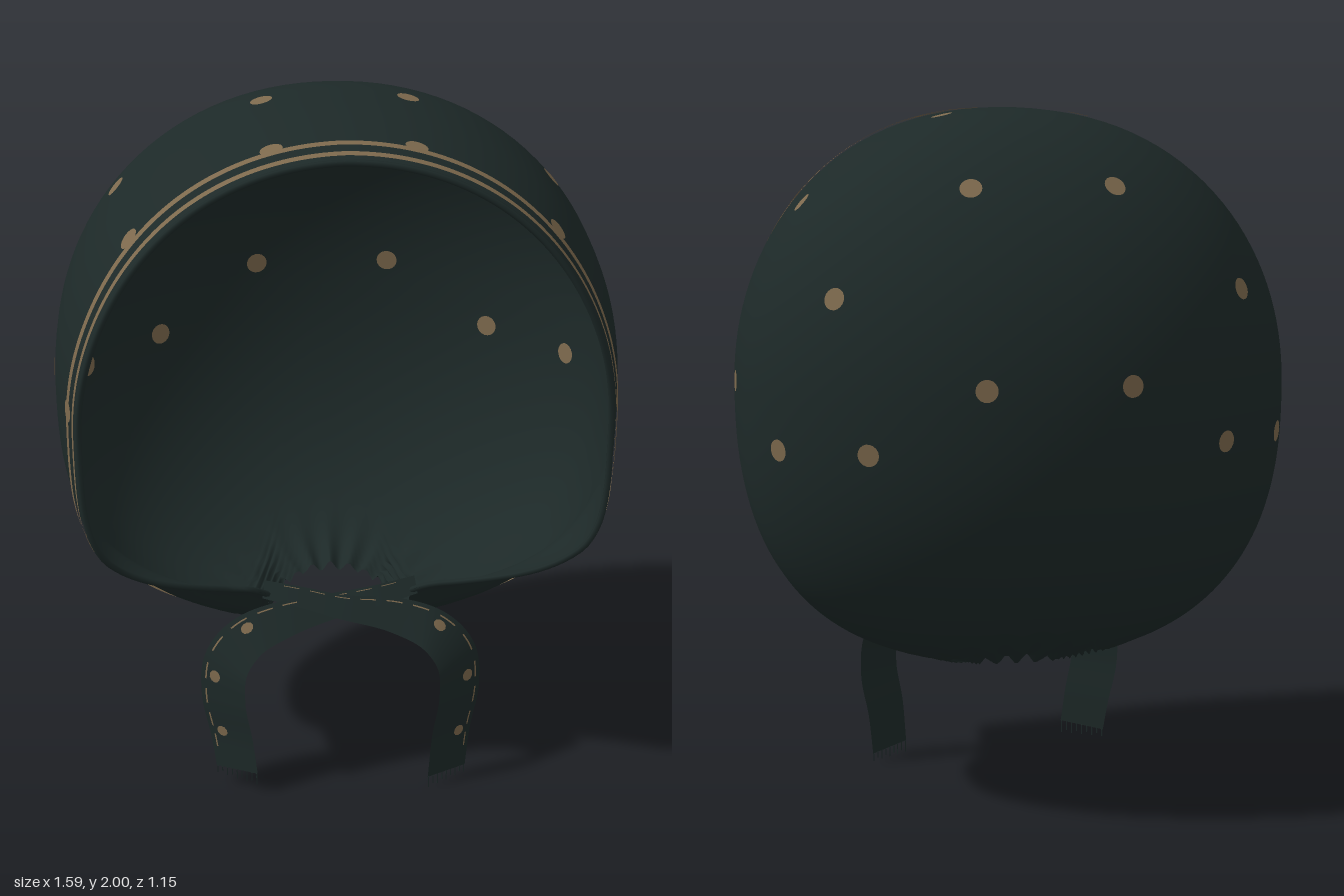
import * as THREE from 'three';

const CY = 1.2;        // height of the hood's axis
const BACK = -0.575;   // rearmost point
const RAD = Math.PI / 180;

const mat = (name, color) => {
  const m = new THREE.MeshStandardMaterial({ color, side: THREE.DoubleSide });
  m.name = name;
  return m;
};

// smooth curve through a few [position, value] pairs
function curve(pairs) {
  const it = new THREE.CubicInterpolant(pairs.map(p => p[0]), pairs.map(p => p[1]), 1, [0]);
  return t => it.evaluate(t)[0];
}

// front half of the hood: half width, height above and depth below the axis, by z
const widthAt = curve([[0, 0.79], [0.1, 0.79], [0.2, 0.785], [0.3, 0.77], [0.4, 0.75], [0.5, 0.725], [0.6, 0.71]]);
const topAt = curve([[0, 0.8], [0.2, 0.798], [0.4, 0.785], [0.54, 0.77], [0.6, 0.765]]);
const bottomAt = curve([[0, 0.79], [0.12, 0.785], [0.2, 0.73], [0.28, 0.62], [0.35, 0.575], [0.5, 0.505], [0.6, 0.5]]);
// edge of the cloth by angle from straight down: neck hole first, then face opening
const edgeAt = curve([[0, -0.16], [8, -0.12], [13, 0], [16, 0.2], [18.5, 0.28], [29, 0.35], [45, 0.45],
  [55.7, 0.5], [63, 0.535], [75, 0.54], [90, 0.54], [118, 0.573], [150, 0.56], [180, 0.54]]);
const edge = a => edgeAt(Math.min(180, Math.abs(a) / RAD));

// radius of the rounded cross-section at z in direction a
function radius(a, z) {
  const s = Math.min(1, Math.max(0, z / BACK));
  const f = Math.max(z, 0);
  const round = p => Math.max(1e-4, Math.pow(1 - Math.pow(s, p), 1 / p));
  const low = Math.cos(a) > 0;
  const w = widthAt(f) * round(2);
  const h = low ? bottomAt(f) * round(2.1) : topAt(f) * round(2);
  const n = low
    ? 2.2 + 0.4 * THREE.MathUtils.smoothstep(z, -0.45, 0) + 1.4 * THREE.MathUtils.smoothstep(z, 0.2, 0.55)
    : 2.1;
  return Math.pow(Math.pow(Math.abs(Math.sin(a)) / w, n) + Math.pow(Math.abs(Math.cos(a)) / h, n), -1 / n);
}

function hoodPoint(a, z, lift = 0) {
  const r = radius(a, z) + lift;
  const p = new THREE.Vector3(r * Math.sin(a), CY - r * Math.cos(a), z);
  if (Math.cos(a) > 0.5) { // gathers fanning out of the neck hole
    const d = Math.hypot(p.x, z - 0.04);
    const fade = 1 - THREE.MathUtils.smoothstep(d, 0.16, 0.42);
    p.y += 0.014 * fade * Math.cos(22 * Math.atan2(Math.abs(p.x), z - 0.04));
  }
  return p;
}

// surface from a rule: fn(u, v) with u and v in 0..1
function grid(nu, nv, fn, wrap = false) {
  const pos = [], idx = [], row = wrap ? nv : nv + 1;
  for (let i = 0; i <= nu; i++)
    for (let j = 0; j < row; j++) pos.push(...fn(i / nu, j / nv).toArray());
  for (let i = 0; i < nu; i++)
    for (let j = 0; j < nv; j++) {
      const k = (j + 1) % row, a = i * row + j, b = i * row + k;
      idx.push(a, b, a + row, b, b + row, a + row);
    }
  const g = new THREE.BufferGeometry();
  g.setAttribute('position', new THREE.Float32BufferAttribute(pos, 3));
  g.setIndex(idx);
  g.computeVertexNormals();
  return g;
}

export function createModel() {
  const group = new THREE.Group();
  const cloth = mat('darkGreenCloth', 0x1d2928);
  const tan = mat('tanPrint', 0x7d694d);
  const add = (name, geo, m, parent = group) => {
    const mesh = new THREE.Mesh(geo, m);
    mesh.name = name;
    parent.add(mesh);
    return mesh;
  };

  // hood shell, closer columns near the neck
  const angle = v => Math.sign(v) * Math.PI * Math.pow(Math.abs(v), 1.6);
  add('hoodShell', grid(64, 180, (u, v) => {
    const a = angle(2 * v - 1);
    return hoodPoint(a, BACK + (edge(a) - BACK) * (1 - Math.cos(u * Math.PI / 2)));
  }, true), cloth);

  // hem around the face opening
  const wrapAngle = (v, start) => {
    const a = RAD * (start + v * (360 - 2 * start));
    return a > Math.PI ? a - 2 * Math.PI : a;
  };
  const hem = [];
  for (let i = 0; i <= 60; i++) {
    const a = wrapAngle(i / 60, 18.5);
    hem.push(hoodPoint(a, edge(a) - 0.006, -0.006));
  }
  add('faceHem', new THREE.TubeGeometry(new THREE.CatmullRomCurve3(hem), 150, 0.009, 6), cloth);

  // two printed stripes behind the hem
  for (const back of [0.025, 0.09])
    add('hoodStripe', grid(2, 160, (u, v) => {
      const a = wrapAngle(v, 61);
      return hoodPoint(a, edge(a) - back - 0.025 * u, 0.006);
    }), tan);

  // tapering printed crescent below each cheek
  for (const side of [1, -1])
    add('cheekCrescent', grid(2, 30, (u, v) => {
      const a = side * RAD * (29 + 26 * v);
      return hoodPoint(a, edge(a) - 0.02 - 0.035 * u * Math.sin(Math.PI * v), 0.005);
    }), tan);

  // printed dots: x, y, z (z left out where it follows from the rounded back), stretch
  const dots = [[0.2, 1.98, 0.045], [0.2, 1.8], [0.6, 1.74, 0.04], [0.57, 1.51], [0.2, 1.28],
    [0.5, 1.1], [0.7, 1.09, -0.24], [0.79, 1.235, 0.09], [0.19, 1.97, 0.42], [0.58, 1.75, 0.43],
    [0.75, 1.25, 0.435], [0.5, 0.55, 0.12, 2.1]];
  const disc = new THREE.CircleGeometry(0.031, 18);
  for (const [x, y, zGiven, stretch = 1] of dots)
    for (const side of [1, -1]) {
      const a = Math.atan2(side * x, CY - y);
      let z = zGiven;
      if (z === undefined) {
        let lo = BACK, hi = 0;
        for (let i = 0; i < 30; i++) {
          z = (lo + hi) / 2;
          if (radius(a, z) < Math.hypot(x, y - CY)) lo = z; else hi = z;
        }
      }
      const e = 0.003, c = hoodPoint(a, z);
      const n = hoodPoint(a + e, z).sub(hoodPoint(a - e, z))
        .cross(hoodPoint(a, z + e).sub(hoodPoint(a, z - e))).normalize();
      if (n.dot(new THREE.Vector3(c.x, c.y - CY, c.z)) < 0) n.negate();
      for (const face of [1, -1]) {
        const dot = add(face > 0 ? 'outerDot' : 'innerDot', disc, tan);
        dot.position.copy(c).addScaledVector(n, 0.004 * face);
        dot.lookAt(dot.position.clone().add(n));
        dot.scale.set(stretch > 1 ? 0.55 : 1, stretch, 1);
      }
    }

  // crossed ribbon ties hanging below the chin
  const halfWidth = curve([[0, 0.025], [0.25, 0.035], [0.45, 0.055], [0.65, 0.07], [1, 0.068]]);
  for (const side of [1, -1]) {
    const tie = new THREE.Group();
    tie.name = side > 0 ? 'leftTie' : 'rightTie';
    group.add(tie);
    const endY = side > 0 ? 0.03 : 0.06;
    const path = new THREE.CatmullRomCurve3([
      [-0.22, 0.595, 0.27], [-0.1, 0.575, 0.295], [0, 0.553, 0.305 + 0.008 * side], [0.16, 0.525, 0.325],
      [0.27, 0.48, 0.345], [0.332, 0.4, 0.355], [0.342, 0.29, 0.362], [0.32, 0.16, 0.37], [0.307, endY, 0.38],
    ].map(([x, y, z]) => new THREE.Vector3(x * side, y, z)));
    // point on the ribbon, w from -1 (inner edge) to 1 (outer edge)
    const ribbon = (t, w, lift = 0) => {
      const along = path.getTangentAt(t);
      const across = new THREE.Vector3(-along.y * side, along.x * side, 0).normalize();
      across.multiplyScalar(0.87).add(new THREE.Vector3(0, 0, -0.58));
      const n = along.clone().cross(across).normalize();
      if (n.z < 0) n.negate();
      return path.getPointAt(t).addScaledVector(across, w * halfWidth(t)).addScaledVector(n, lift);
    };
    add('ribbon', grid(60, 4, (u, v) => ribbon(u, v * 2 - 1)), cloth, tie);
    // broken edge line and small printed patches
    for (let i = 0; i < 12; i++) {
      const t = 0.06 + i * 0.075;
      add('ribbonLine', grid(6, 1, (u, v) => ribbon(t + u * 0.045, 0.72 + v * 0.07, 0.003)), tan, tie);
    }
    for (const t of [0.52, 0.69, 0.87])
      add('ribbonPatch', grid(3, 10, (u, v) => ribbon(
        t + u * 0.018 * Math.cos(v * 2 * Math.PI), 0.35 + u * 0.24 * Math.sin(v * 2 * Math.PI), 0.004)), tan, tie);
    // frayed end
    for (let i = 0; i < 9; i++) {
      const p = ribbon(1, -0.95 + i * 0.2375);
      const bottom = side > 0 ? (i % 2 ? 0.008 : 0) : 0.03 + (i % 2) * 0.008;
      const thread = add('fringe', new THREE.BoxGeometry(0.003, p.y - bottom, 0.003), cloth, tie);
      thread.position.set(p.x, (p.y + bottom) / 2, p.z);
    }
  }
  return group;
}
